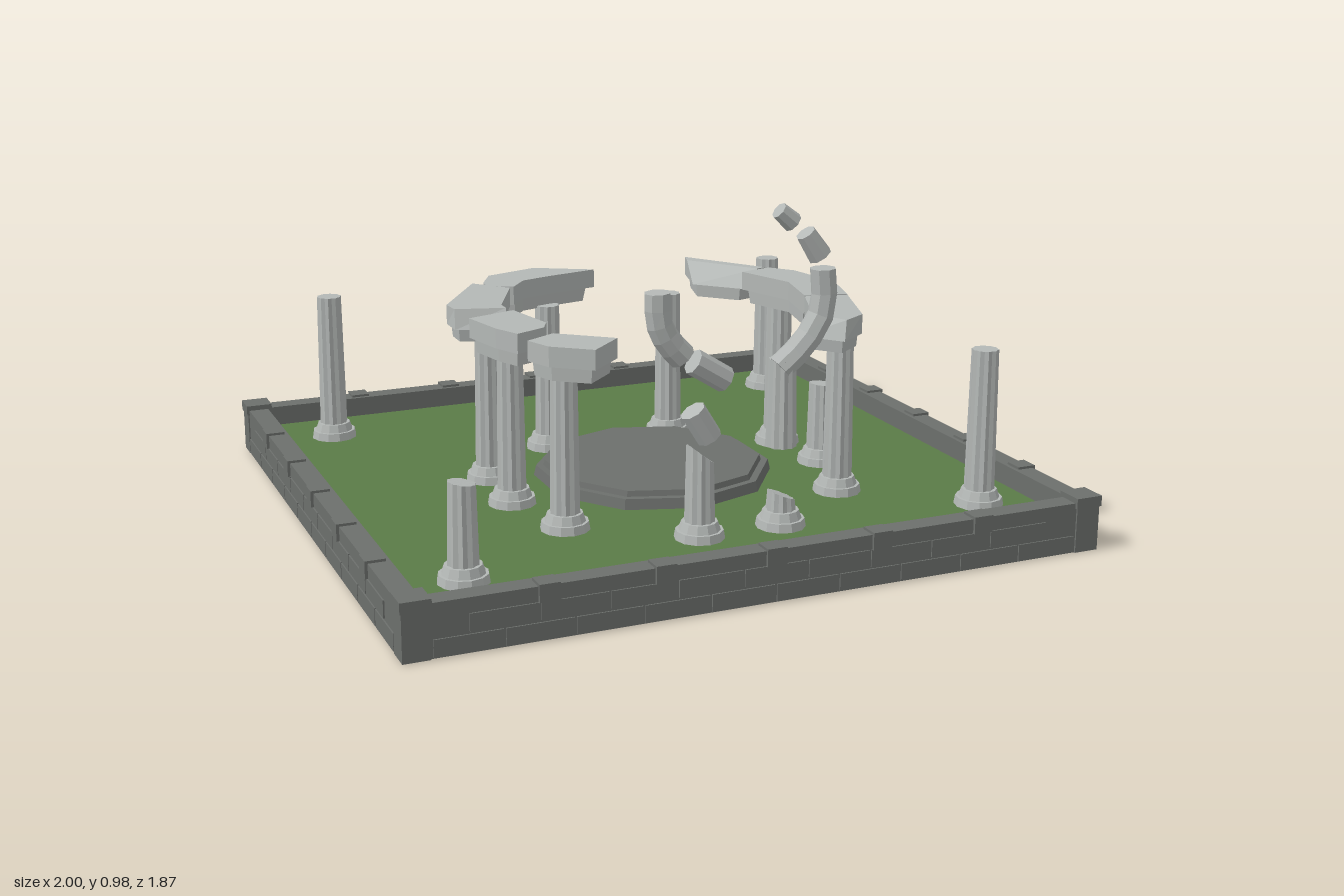
import * as THREE from 'three';

const mat = (name, color) => {
  const m = new THREE.MeshStandardMaterial({ color, flatShading: true });
  m.name = name;
  return m;
};

export function createModel() {
  const root = new THREE.Group();
  root.name = 'ruinedTempleCourt';
  const marble = mat('pale marble', 0xb4b8b6);
  const stone = mat('dark stone', 0x6c6f6c);
  const grass = mat('grass', 0x5a7b47);
  const GROUND = 0.085;

  const add = (name, geo, material, x = 0, y = 0, z = 0, parent = root) => {
    const m = new THREE.Mesh(geo, material);
    m.name = name;
    m.position.set(x, y, z);
    parent.add(m);
    return m;
  };
  const box = (name, w, h, d, x, y, z, material = stone, parent = root) =>
    add(name, new THREE.BoxGeometry(w, h, d), material, x, y, z, parent);

  // Lawn
  box('lawn', 1.95, GROUND, 1.81, 0, GROUND / 2, 0, grass);

  // Perimeter wall: core, two staggered courses of blocks, small capping posts
  const wall = (angle, length, out, postGap) => {
    const side = new THREE.Group();
    side.name = 'wall';
    side.rotation.y = angle;
    root.add(side);
    box('wallCore', length, 0.143, 0.06, 0, 0.0735, out - 0.036, stone, side);
    [[0.028, 0], [0.081, 0.5]].forEach(([y, shift]) => {
      const n = 10, w = (length - 0.14) / n;
      for (let i = 0; i < n - shift * 2; i++)
        box('wallBlock', w - 0.006, 0.047, 0.006, (i + 0.5 + shift - n / 2) * w, y, out - 0.005, stone, side);
    });
    for (let i = -2; i <= 2; i++)
      box('wallPost', 0.056, 0.048, 0.056, i * postGap, 0.128, out - 0.026, stone, side);
  };
  wall(0, 1.98, 0.93, 0.31);
  wall(Math.PI, 1.98, 0.93, 0.31);
  wall(Math.PI / 2, 1.85, 0.998, 0.293);
  wall(-Math.PI / 2, 1.85, 0.998, 0.293);
  for (const sx of [-1, 1]) for (const sz of [-1, 1]) {
    box('cornerPost', 0.072, 0.15, 0.072, sx * 0.96, 0.077, sz * 0.893);
    box('cornerCap', 0.08, 0.03, 0.08, sx * 0.96, 0.145, sz * 0.893);
  }

  // Ten-sided dais in two steps
  add('daisStep', new THREE.CylinderGeometry(0.348, 0.355, 0.03, 10), stone, 0.03, GROUND + 0.015, 0.05);
  add('daisTop', new THREE.CylinderGeometry(0.322, 0.328, 0.02, 10), stone, 0.03, GROUND + 0.036, 0.05);

  // Fluted shaft between two heights; slant tilts the broken top
  const flutedShaft = (y0, y1, slant = 0) => {
    const h = y1 - y0;
    const g = new THREE.CylinderGeometry(0.038, 0.043, h, 20);
    const p = g.attributes.position;
    for (let i = 0; i < p.count; i++) {
      const x = p.getX(i), z = p.getZ(i);
      const step = Math.round(Math.atan2(z, x) / (Math.PI / 10));
      const k = step % 2 ? 0.9 : 1;
      p.setX(i, x * k);
      p.setZ(i, z * k);
      if (p.getY(i) > 0) p.setY(i, p.getY(i) - slant * (x + 0.038));
    }
    return g.translate(0, (y0 + y1) / 2, 0);
  };
  const column = (x, z, top, slant = 0) => {
    const c = new THREE.Group();
    c.name = 'column';
    c.position.set(x, 0, z);
    root.add(c);
    add('columnPlinth', new THREE.CylinderGeometry(0.066, 0.07, 0.024, 12), marble, 0, GROUND + 0.012, 0, c);
    add('columnRing', new THREE.CylinderGeometry(0.05, 0.058, 0.024, 12), marble, 0, GROUND + 0.036, 0, c);
    add('columnShaft', flutedShaft(GROUND + 0.04, top, slant), marble, 0, 0, 0, c);
  };
  [
    // corner columns, one broken short
    [-0.76, 0.675, 0.355, 0.15], [0.77, 0.675, 0.54], [-0.76, -0.675, 0.54], [0.77, -0.675, 0.54],
    // inner ring
    [-0.17, -0.305, 0.54], [0.237, -0.31, 0.54],
    [-0.44, -0.075, 0.54], [0.51, -0.075, 0.54],
    [-0.45, 0.155, 0.54], [0.54, 0.155, 0.335, 0.1],
    [-0.385, 0.41, 0.54], [0.455, 0.415, 0.54],
    // broken gate columns
    [-0.075, 0.615, 0.35, 0.75], [0.17, 0.615, 0.19, 0.4],
  ].forEach(a => column(...a));

  // Prism between a bottom outline and a top outline, given as [x, z] points
  const prism = (bottom, top, y0, y1) => {
    const flat = pts => pts.map(([x, z]) => new THREE.Vector2(x, -z));
    let b = flat(bottom), t = flat(top);
    if (THREE.ShapeUtils.area(b) < 0) { b.reverse(); t.reverse(); }
    const out = [];
    const put = (v, y) => out.push(v.x, y, -v.y);
    b.forEach((v, i) => {
      const j = (i + 1) % b.length;
      put(v, y0); put(b[j], y0); put(t[j], y1);
      put(v, y0); put(t[j], y1); put(t[i], y1);
    });
    for (const [i, j, k] of THREE.ShapeUtils.triangulateShape(t, [])) { put(t[i], y1); put(t[j], y1); put(t[k], y1); }
    for (const [i, j, k] of THREE.ShapeUtils.triangulateShape(b, [])) { put(b[k], y0); put(b[j], y0); put(b[i], y0); }
    const g = new THREE.BufferGeometry();
    g.setAttribute('position', new THREE.Float32BufferAttribute(out, 3));
    g.computeVertexNormals();
    return g;
  };
  const inset = (pts, s) => {
    const cx = pts.reduce((a, p) => a + p[0], 0) / pts.length;
    const cz = pts.reduce((a, p) => a + p[1], 0) / pts.length;
    return pts.map(([x, z]) => [cx + (x - cx) * s, cz + (z - cz) * s]);
  };

  // Broken ring of lintels; "cut" replaces top corners where an end is sheared
  const lintel = (pts, cut = {}) => {
    const top = pts.map((p, i) => cut[i] || p);
    add('lintelSlab', prism(pts, top, 0.572, 0.628), marble);
    add('lintelSoffit', prism(inset(pts, 0.84), inset(pts, 0.88), 0.533, 0.573), marble);
  };
  lintel([[-0.38, -0.25], [-0.375, -0.3], [-0.33, -0.385], [-0.165, -0.44], [0, -0.345], [-0.155, -0.31], [-0.255, -0.28], [-0.31, -0.21]]);
  lintel([[-0.41, -0.30], [-0.325, -0.2], [-0.42, 0], [-0.425, 0.075], [-0.565, 0.02], [-0.565, -0.06]],
    { 3: [-0.42, 0.04], 4: [-0.56, 0] });
  lintel([[-0.555, 0.12], [-0.41, 0.075], [-0.375, 0.25], [-0.40, 0.30], [-0.49, 0.34], [-0.525, 0.26]]);
  lintel([[-0.49, 0.42], [-0.40, 0.37], [-0.26, 0.485], [-0.36, 0.58], [-0.46, 0.50]]);
  lintel([[0.34, -0.41], [0.505, -0.17], [0.415, -0.14], [0.30, -0.26]],
    { 2: [0.475, -0.16], 3: [0.325, -0.36] });
  lintel([[0.41, -0.135], [0.515, -0.16], [0.57, -0.09], [0.605, 0.1], [0.56, 0.26], [0.435, 0.23], [0.475, 0.05]]);
  lintel([[0.43, 0.24], [0.555, 0.27], [0.475, 0.5], [0.385, 0.565], [0.30, 0.46], [0.365, 0.4]],
    { 3: [0.4, 0.545], 4: [0.35, 0.44] });

  // Curved gate pieces: a cylinder bent along a path of [x, y] points
  const bent = (name, pts, r0, r1, z = 0.62) => {
    const curve = new THREE.CatmullRomCurve3(pts.map(([x, y]) => new THREE.Vector3(x, y, 0)));
    const g = new THREE.CylinderGeometry(r1, r0, 1, 8, pts.length > 2 ? 5 : 1);
    const p = g.attributes.position;
    for (let i = 0; i < p.count; i++) {
      const t = THREE.MathUtils.clamp(p.getY(i) + 0.5, 0, 1);
      const c = curve.getPoint(t), d = curve.getTangent(t), x = p.getX(i);
      p.setXYZ(i, c.x + d.y * x, c.y - d.x * x, p.getZ(i));
    }
    add(name, g, marble, 0, 0, z);
  };
  add('gateShaft', flutedShaft(0.315, 0.56), marble, 0.167, 0, 0.615);
  bent('gateHorn', [[0.155, 0.535], [0.23, 0.6], [0.283, 0.69], [0.28, 0.8]], 0.038, 0.036);
  bent('gateFragment', [[0.27, 0.835], [0.225, 0.9]], 0.034, 0.028);
  bent('gateTip', [[0.188, 0.93], [0.145, 0.966]], 0.028, 0.024);
  bent('gateFragment', [[-0.05, 0.365], [-0.1, 0.445]], 0.036, 0.036);
  bent('gateFragment', [[-0.005, 0.52], [-0.1, 0.58]], 0.036, 0.036);
  bent('gateHorn', [[-0.13, 0.595], [-0.175, 0.645], [-0.2, 0.7], [-0.203, 0.775]], 0.038, 0.036);

  return root;
}
